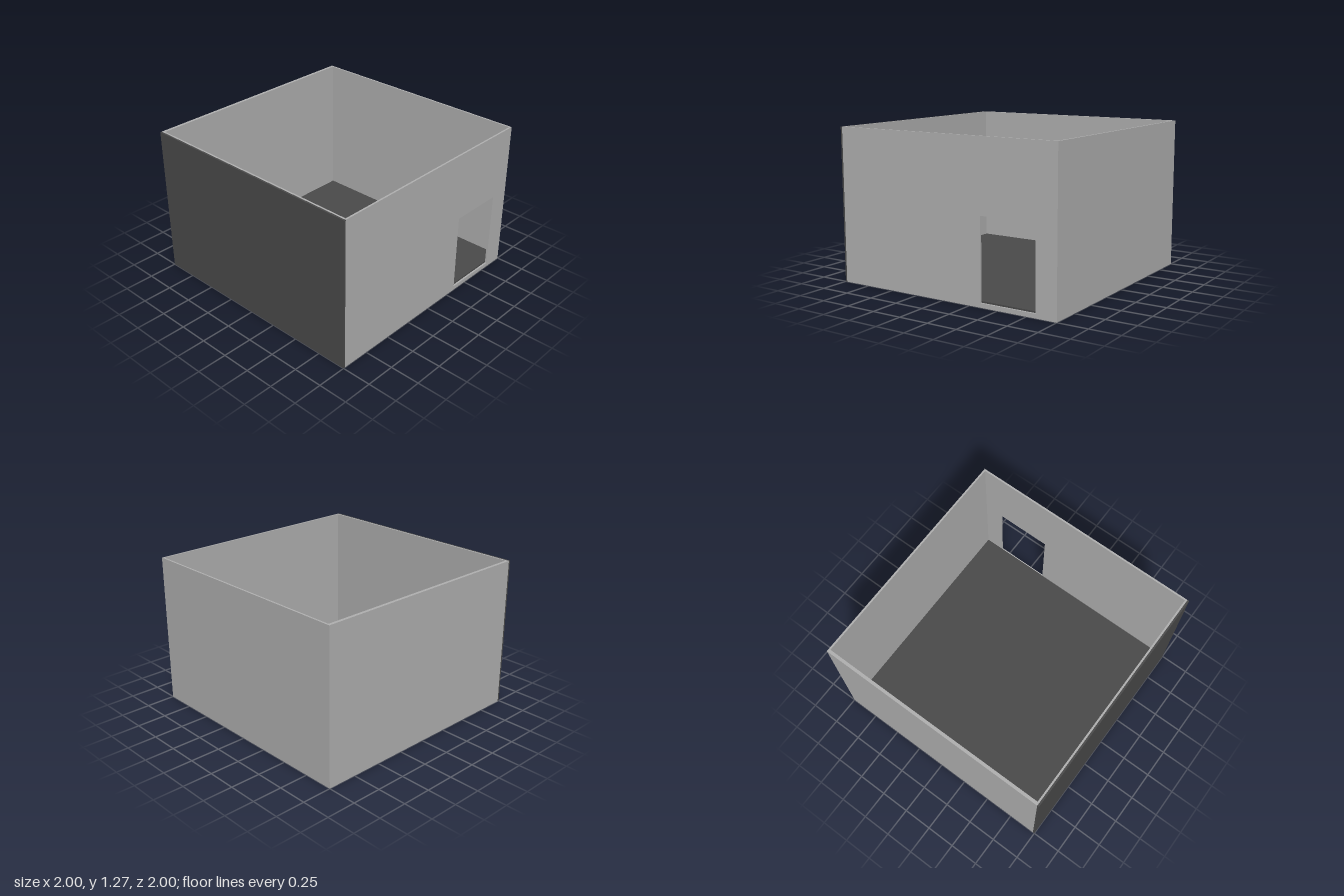
import * as THREE from 'three';

export function createModel() {
  const model = new THREE.Group();
  const lightGrey = new THREE.MeshStandardMaterial({ color: 0xb0b0b0 });
  lightGrey.name = 'light grey';
  const darkGrey = new THREE.MeshStandardMaterial({ color: 0x4a4a4a });
  darkGrey.name = 'dark grey';

  const H = 1.27;

  // Box given by its min and max corners
  function block(name, material, [x0, y0, z0], [x1, y1, z1]) {
    const mesh = new THREE.Mesh(new THREE.BoxGeometry(x1 - x0, y1 - y0, z1 - z0), material);
    mesh.position.set((x0 + x1) / 2, (y0 + y1) / 2, (z0 + z1) / 2);
    mesh.name = name;
    model.add(mesh);
  }

  // Slab under the room and the dark floor laid on it
  block('baseSlab', lightGrey, [-0.985, 0, -0.975], [0.985, 0.035, 0.985]);
  block('floor', darkGrey, [-0.97, 0.035, -0.975], [0.985, 0.048, 0.985]);

  // Plain walls
  block('backWall', lightGrey, [-0.985, 0, -1], [1, H, -0.975]);
  block('leftWall', lightGrey, [0.985, 0, -0.975], [1, H, 0.985]);
  block('rightWall', lightGrey, [-0.985, 0, -0.975], [-0.97, H, 0.985]);

  // Dark cladding outside the right wall
  block('rightCladding', darkGrey, [-1, 0, -1], [-0.985, H, 1]);

  // Front wall with a doorway
  const wall = new THREE.Shape();
  wall.moveTo(-0.985, 0).lineTo(1, 0).lineTo(1, H).lineTo(-0.985, H).closePath();
  const doorway = new THREE.Path();
  doorway.moveTo(0.35, 0.035).lineTo(0.35, 0.69).lineTo(0.825, 0.69).lineTo(0.825, 0.035).closePath();
  wall.holes.push(doorway);
  const frontWall = new THREE.Mesh(
    new THREE.ExtrudeGeometry(wall, { depth: 0.015, bevelEnabled: false }), lightGrey);
  frontWall.position.z = 0.985;
  frontWall.name = 'frontWall';
  model.add(frontWall);

  return model;
}
